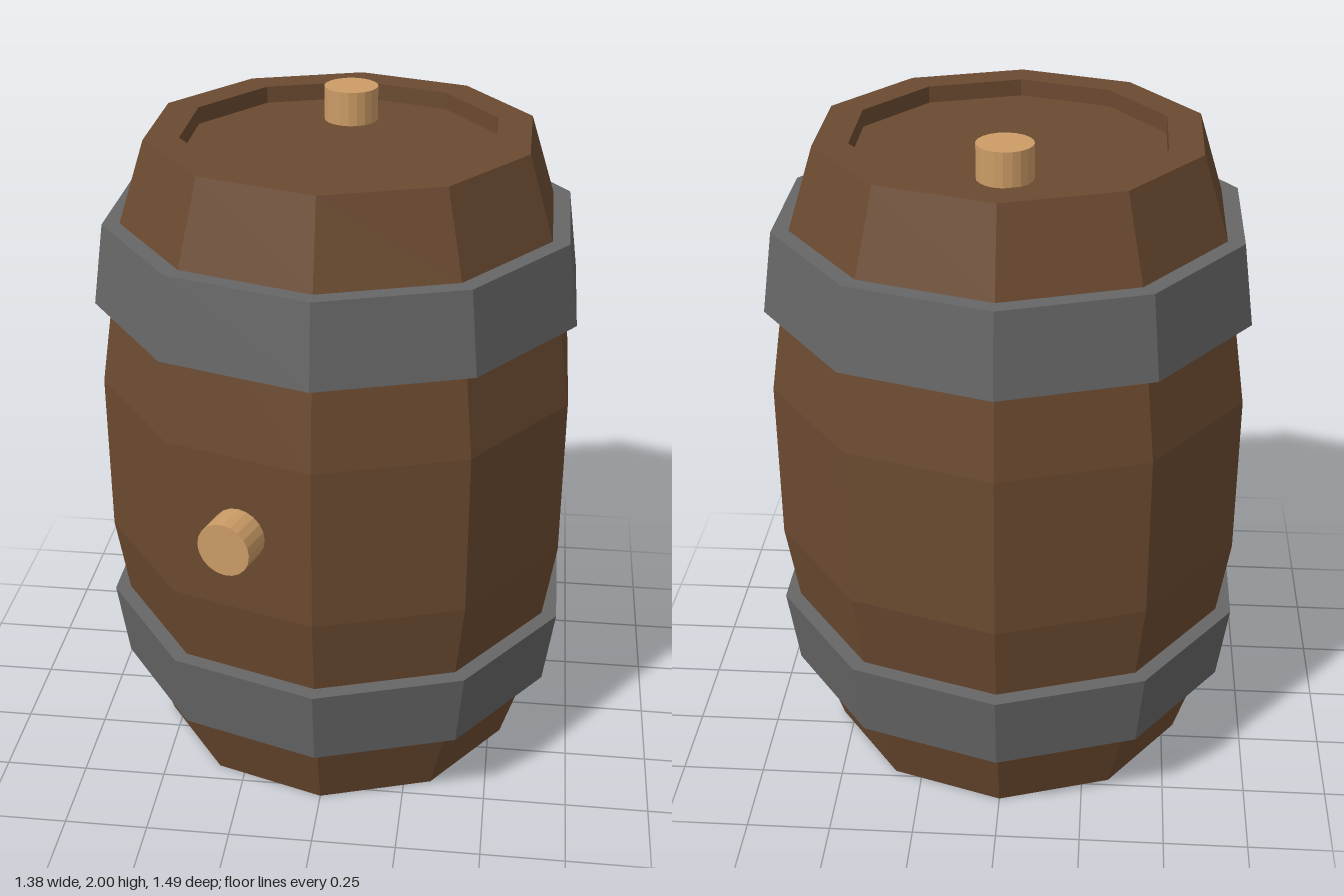
import * as THREE from 'three';

const SIDES = 10;
const CENTER_Z = -0.02;

const wood = new THREE.MeshStandardMaterial({ color: 0x6b4a30, flatShading: true });
const iron = new THREE.MeshStandardMaterial({ color: 0x666666, flatShading: true });
const cork = new THREE.MeshStandardMaterial({ color: 0xcc9c66, flatShading: true });

// Ten-sided lathe from [radius, height] pairs, with a corner facing the front
function lathe(name, profile, material) {
  const points = profile.map(([r, y]) => new THREE.Vector2(r, y));
  const mesh = new THREE.Mesh(new THREE.LatheGeometry(points, SIDES), material);
  mesh.name = name;
  return mesh;
}

// Round plug, with its base at the origin of its own axis
function plug(name, length) {
  const geometry = new THREE.CylinderGeometry(0.08, 0.08, length, 20);
  geometry.translate(0, length / 2, 0);
  const mesh = new THREE.Mesh(geometry, cork);
  mesh.name = name;
  return mesh;
}

export function createModel() {
  const barrel = new THREE.Group();
  barrel.name = 'barrel';
  barrel.position.z = CENTER_Z;

  // Bulging body with a recessed lid at each end
  barrel.add(lathe('body', [
    [0, 0.05], [0.463, 0.05], [0.463, 0], [0.565, 0],
    [0.643, 0.25], [0.718, 0.73], [0.718, 1.22], [0.643, 1.71],
    [0.565, 1.95], [0.463, 1.95], [0.463, 1.9], [0, 1.9],
  ], wood));

  // Tapered hoops, wide edge towards the middle
  const hoop = [[0.62, 0.25], [0.694, 0.25], [0.728, 0.49], [0.66, 0.49], [0.62, 0.25]];
  barrel.add(lathe('lowerHoop', hoop, iron));
  const mirrored = hoop.map(([r, y]) => [r, 1.96 - y]).reverse();
  barrel.add(lathe('upperHoop', mirrored, iron));

  // Bung standing on the lid
  const bung = plug('lidBung', 0.12);
  bung.position.set(0, 1.88, -0.25);
  barrel.add(bung);

  // Side plug, square to the stave left of the front corner
  const normal = new THREE.Vector3(-Math.sin(Math.PI / SIDES), 0, Math.cos(Math.PI / SIDES));
  const sidePlug = plug('sidePlug', 0.12);
  sidePlug.quaternion.setFromUnitVectors(new THREE.Vector3(0, 1, 0), normal);
  sidePlug.position.copy(normal).multiplyScalar(0.658).setY(0.98);
  barrel.add(sidePlug);

  const model = new THREE.Group();
  model.name = 'model';
  model.add(barrel);
  return model;
}
